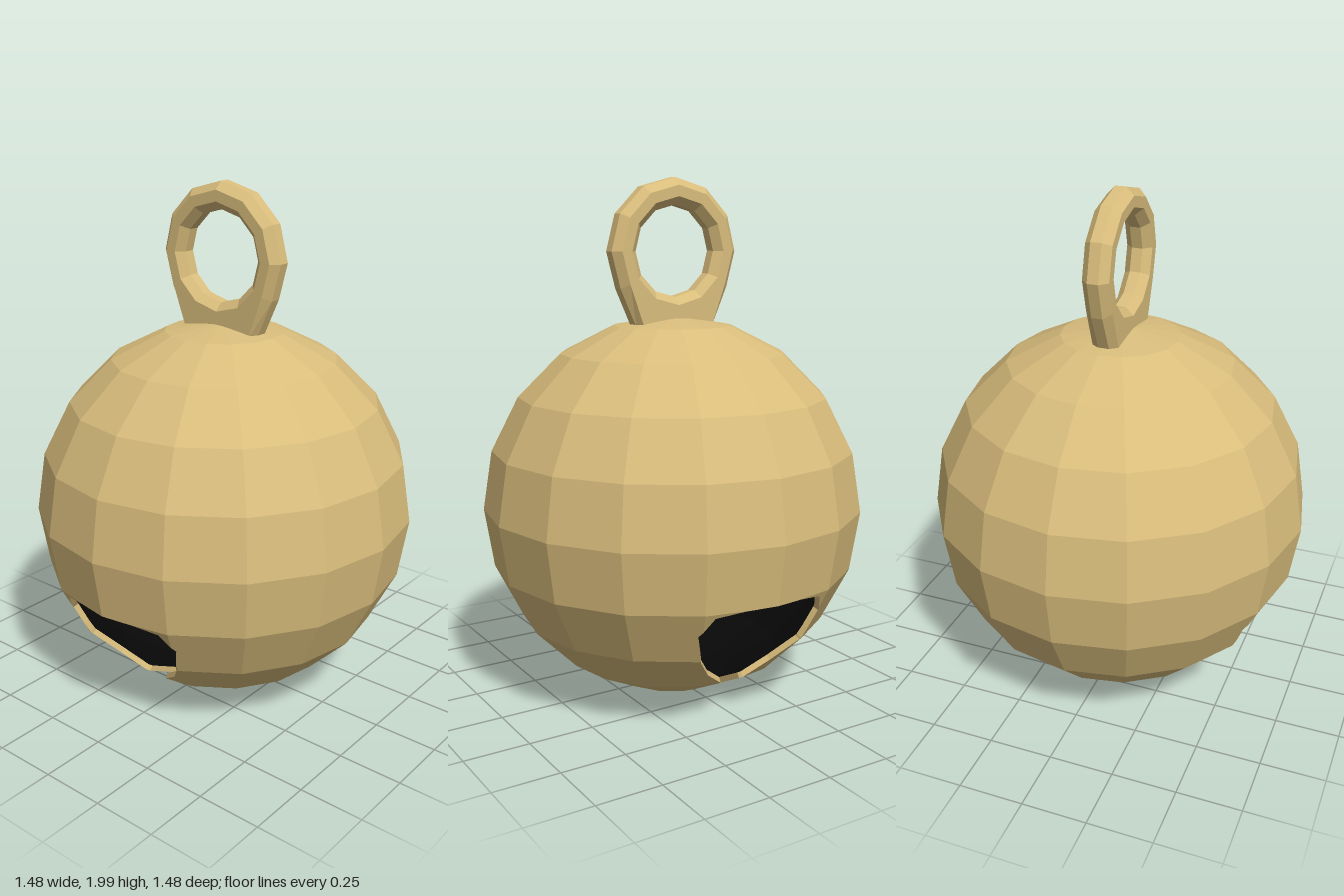
import * as THREE from 'three';

const R = 0.74, SEGS = 16, ROWS = 10, INNER = 0.97;
const CENTRE = new THREE.Vector3(0, R, 0);

// Slot outline, half width against height, cut straight through along z
const SLOT = [[0.034, -0.01], [0.042, 0.135], [0.14, 0.208], [0.22, 0.298],
  [0.264, 0.42], [0.227, 0.495], [0.12, 0.51], [0, 0.515]];
const SLOT_TOP = 0.515;

// Keep the part of a convex polygon where f(point) >= 0
function clip(poly, f) {
  const out = [];
  poly.forEach((a, i) => {
    const b = poly[(i + 1) % poly.length], fa = f(a), fb = f(b);
    if (fa >= 0) out.push(a);
    if (fa * fb < 0) out.push(a.clone().lerp(b, fa / (fa - fb)));
  });
  return out;
}

function spherePoint(i, j) {
  const t = (j / ROWS) * Math.PI, p = (i / SEGS) * Math.PI * 2;
  return new THREE.Vector3(R * Math.sin(t) * Math.sin(p), R + R * Math.cos(t), R * Math.sin(t) * Math.cos(p));
}

const inward = (p) => p.clone().sub(CENTRE).multiplyScalar(INNER).add(CENTRE);

function addPolygon(list, poly) {
  for (let i = 1; i + 1 < poly.length; i++) {
    const tri = new THREE.Triangle(poly[0], poly[i], poly[i + 1]);
    if (tri.getArea() > 1e-8) list.push(poly[0], poly[i], poly[i + 1]);
  }
}

function meshFrom(name, points, material) {
  const geometry = new THREE.BufferGeometry().setFromPoints(points);
  geometry.computeVertexNormals();
  const mesh = new THREE.Mesh(geometry, material);
  mesh.name = name;
  return mesh;
}

function createBody(gold, dark) {
  const outer = [], inner = [], rim = [];
  const addShell = (poly) => {
    addPolygon(outer, poly);
    addPolygon(inner, poly.map(inward).reverse());
  };

  for (let j = 0; j < ROWS; j++) for (let i = 0; i < SEGS; i++) {
    const facet = [spherePoint(i, j), spherePoint(i, j + 1), spherePoint(i + 1, j + 1), spherePoint(i + 1, j)];
    addShell(clip(facet, (p) => p.y - SLOT_TOP));

    // Below the slot top, trim each facet band by band on both sides
    for (let b = 0; b + 1 < SLOT.length; b++) {
      const [w0, y0] = SLOT[b], [w1, y1] = SLOT[b + 1];
      const band = clip(clip(facet, (p) => p.y - y0), (p) => y1 - p.y);
      for (const side of [1, -1]) {
        const gap = (p) => side * p.x - (w0 + (w1 - w0) * (p.y - y0) / (y1 - y0));
        const poly = clip(band, gap);
        if (poly.length < 3) continue;
        addShell(poly);
        // Wall thickness along the cut edge
        poly.forEach((p, n) => {
          const q = poly[(n + 1) % poly.length];
          if (Math.abs(gap(p)) < 1e-6 && Math.abs(gap(q)) < 1e-6) addPolygon(rim, [q, p, inward(p), inward(q)]);
        });
      }
    }
  }
  const body = new THREE.Group();
  body.name = 'bellBody';
  body.add(meshFrom('outerShell', outer, gold), meshFrom('innerShell', inner, dark), meshFrom('slotRim', rim, gold));
  return body;
}

function createLoop(gold) {
  // Octagonal section swept round twelve sides
  const section = [];
  for (let i = 0; i <= 8; i++) {
    const a = ((i + 0.5) / 8) * Math.PI * 2;
    section.push(new THREE.Vector2(0.224 + 0.055 * Math.cos(a), 0.055 * Math.sin(a)));
  }
  const geometry = new THREE.LatheGeometry(section, 12);
  geometry.rotateX(-Math.PI / 2);

  // Pull the outer lower edge down into a flat foot
  const pos = geometry.attributes.position;
  for (let i = 0; i < pos.count; i++) {
    const x = pos.getX(i), y = pos.getY(i), r = Math.hypot(x, y);
    if (r > 0.225 && y < -0.19) {
      pos.setX(i, Math.abs(x) > 0.05 ? Math.sign(x) * r * 0.62 : 0);
      pos.setY(i, -0.285);
    }
  }
  geometry.computeVertexNormals();
  const loop = new THREE.Mesh(geometry, gold);
  loop.name = 'hangingLoop';
  loop.position.y = 1.725;
  return loop;
}

export function createModel() {
  const gold = new THREE.MeshStandardMaterial({ color: 0xd9bd7c, flatShading: true });
  const dark = new THREE.MeshStandardMaterial({ color: 0x080808, flatShading: true });
  const model = new THREE.Group();
  model.name = 'jingleBell';
  model.add(createBody(gold, dark), createLoop(gold));
  return model;
}
